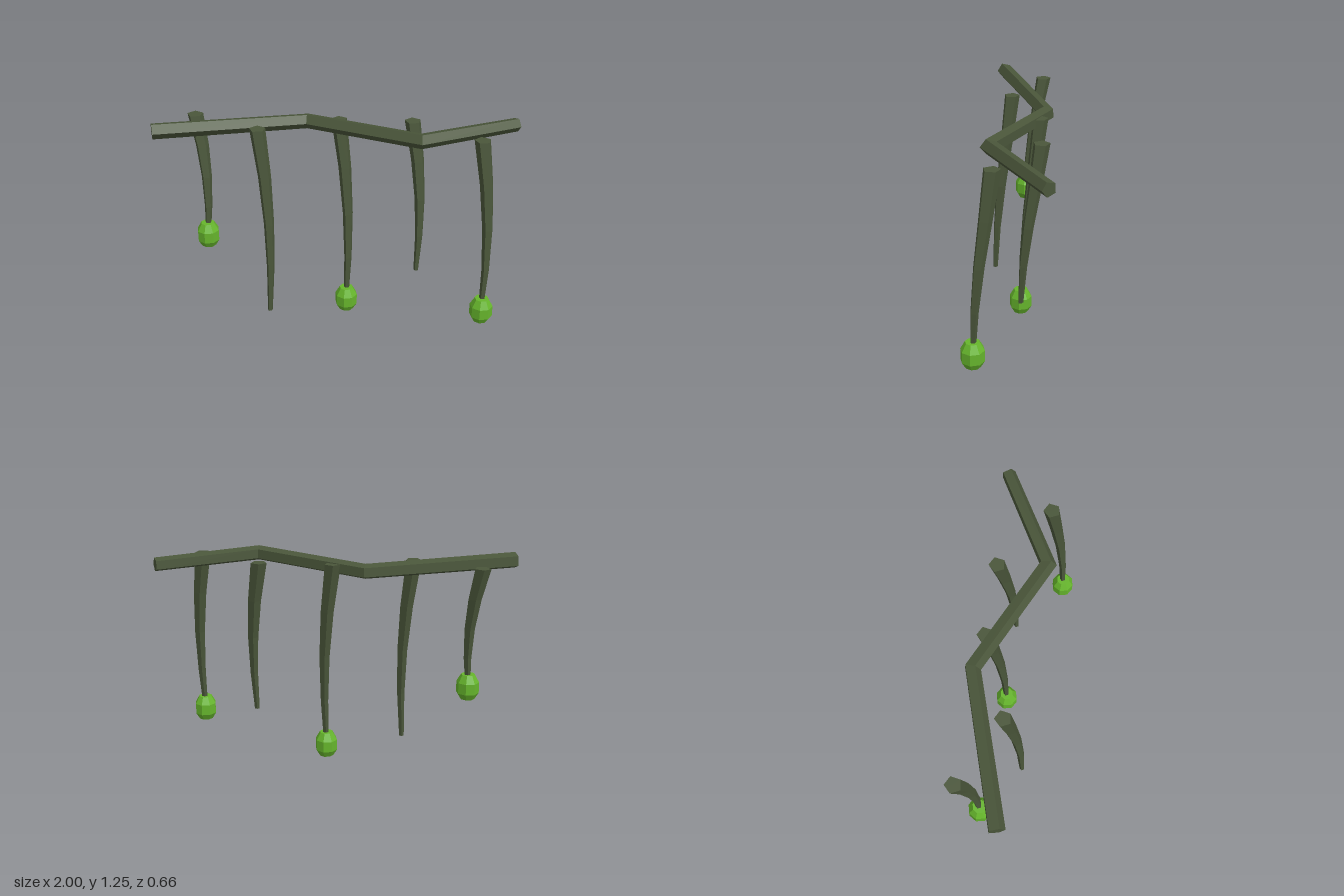
import * as THREE from 'three';

// Skin a list of rings (each circling right-handed about the travel direction) and cap both ends
function loft(rings) {
  const pos = [];
  const tri = (...v) => v.forEach((p) => pos.push(p.x, p.y, p.z));
  const n = rings[0].length;
  const centre = (ring) => ring.reduce((s, p) => s.add(p), new THREE.Vector3()).divideScalar(n);
  const first = rings[0], last = rings[rings.length - 1];
  const c0 = centre(first), c1 = centre(last);
  for (let j = 0; j < n; j++) {
    const k = (j + 1) % n;
    for (let i = 0; i < rings.length - 1; i++) {
      const a = rings[i], b = rings[i + 1];
      tri(a[j], a[k], b[j]);
      tri(a[k], b[k], b[j]);
    }
    tri(c0, first[k], first[j]);
    tri(c1, last[j], last[k]);
  }
  const geo = new THREE.BufferGeometry();
  geo.setAttribute('position', new THREE.Float32BufferAttribute(pos, 3));
  geo.computeVertexNormals();
  return geo;
}

// Horizontal polygon, for shapes lofted from top to bottom
function flatRing(x, y, z, r, sides, start) {
  return Array.from({ length: sides }, (_, j) => {
    const a = start + (j / sides) * Math.PI * 2;
    return new THREE.Vector3(x + r * Math.cos(a), y, z + r * Math.sin(a));
  });
}

// Zigzag five-sided branch with mitred corners
function branchGeometry() {
  const path = [[-0.983, 1.212, 0.29], [-0.2, 1.185, -0.108], [0.49, 1.213, 0.088], [0.972, 1.196, -0.298]]
    .map((p) => new THREE.Vector3(...p));
  const radii = [0.047, 0.044, 0.044, 0.041];
  const up = new THREE.Vector3(0, 1, 0);
  const sideOf = (i) => {
    const d = path[i + 1].clone().sub(path[i]);
    return new THREE.Vector3(-d.z, 0, d.x).normalize();
  };
  const rings = path.map((p, i) => {
    const a = sideOf(Math.max(i - 1, 0)), b = sideOf(Math.min(i, path.length - 2));
    const side = a.clone().add(b).normalize();
    side.divideScalar(side.dot(a));
    return Array.from({ length: 5 }, (_, j) => {
      const t = THREE.MathUtils.degToRad(69 - 72 * j);
      return p.clone().addScaledVector(side, radii[i] * Math.cos(t)).addScaledVector(up, radii[i] * Math.sin(t));
    });
  });
  return loft(rings);
}

// Curved, tapering five-sided vine
function vineGeometry(x, z, bottom) {
  const top = 1.215;
  const drift = [[0, 0], [0.041, 0.028], [0.067, 0.06], [0.075, 0.085], [0.068, 0.1]];
  return loft(drift.map(([dx, dz], i) => {
    const t = i / (drift.length - 1);
    return flatRing(x + dx, top + (bottom - top) * t, z + dz, 0.047 - 0.032 * t, 5, Math.PI);
  }));
}

// Faceted bulb, centred on its origin
function bulbGeometry() {
  const profile = [[0.04, 0.078], [0.066, 0.032], [0.066, -0.032], [0.043, -0.07], [0.002, -0.085]];
  return loft(profile.map(([r, y]) => flatRing(0, y, 0, r, 8, 0)));
}

export function createModel() {
  const group = new THREE.Group();
  const bark = new THREE.MeshStandardMaterial({ color: 0x4a563a, flatShading: true });
  bark.name = 'dark olive bark';
  const green = new THREE.MeshStandardMaterial({ color: 0x66b52c, flatShading: true });
  green.name = 'bright green';

  const add = (name, geo, mat) => {
    const mesh = new THREE.Mesh(geo, mat);
    mesh.name = name;
    group.add(mesh);
    return mesh;
  };

  add('branch', branchGeometry(), bark);

  // Hanging vines: top x, top z, bottom y, has bulb
  const vines = [
    [-0.832, 0.01, 0.49, true],
    [-0.423, 0.137, 0.09, false],
    [-0.012, -0.1, 0.086, true],
    [0.398, -0.172, 0.3, false],
    [0.81, 0.01, 0.197, true],
  ];
  const bulb = bulbGeometry();
  vines.forEach(([x, z, bottom, hasBulb], i) => {
    add(`vine${i + 1}`, vineGeometry(x, z, bottom), bark);
    if (hasBulb) add(`bulb${i + 1}`, bulb, green).position.set(x + 0.068, bottom, z + 0.1);
  });
  return group;
}
